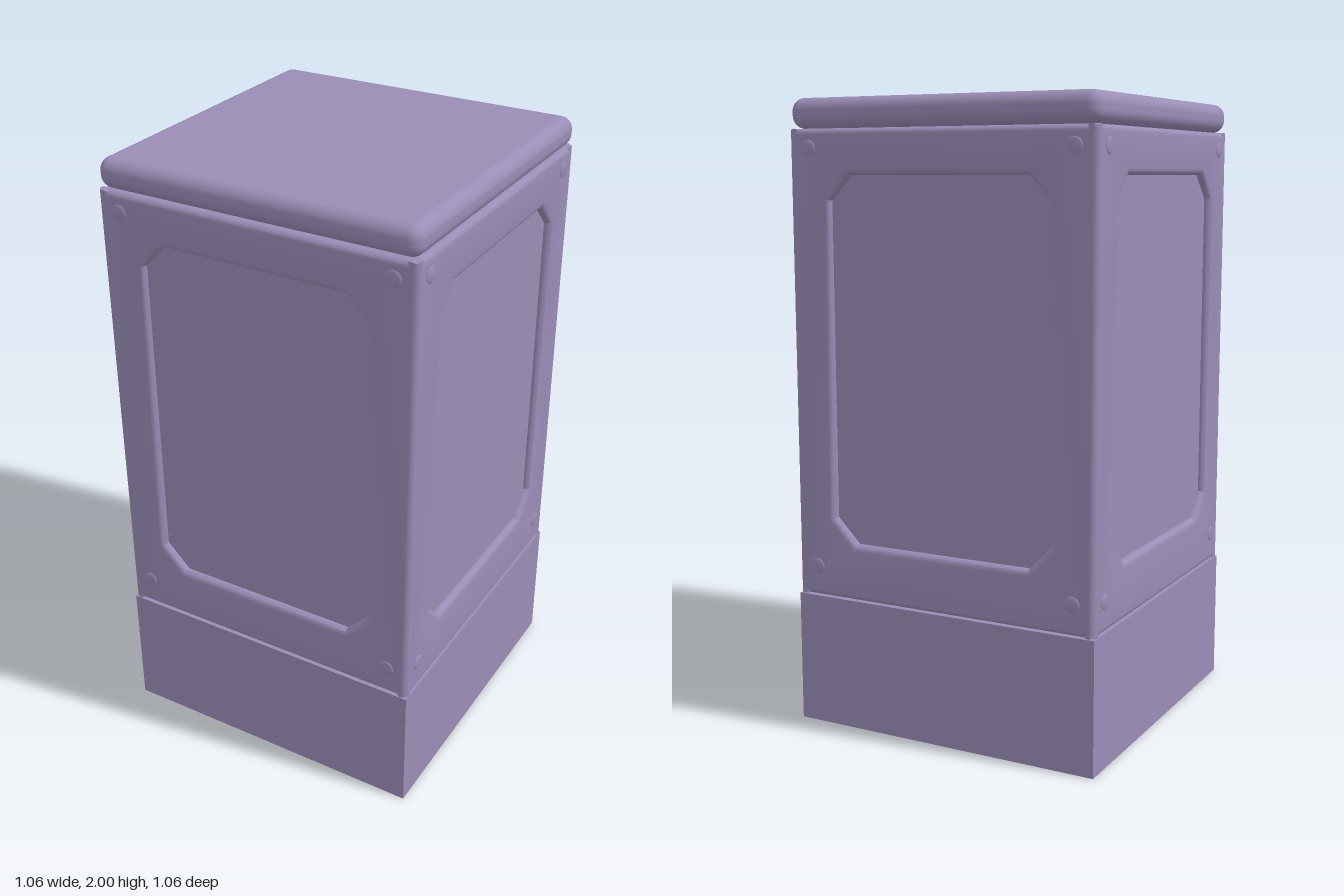
import * as THREE from 'three';
import { toCreasedNormals } from 'three/addons/utils/BufferGeometryUtils.js';
import { RoundedBoxGeometry } from 'three/addons/geometries/RoundedBoxGeometry.js';

const HALF = 0.525;             // half width of the pedestal
const BASE_TOP = 0.425, BODY_TOP = 1.906;
const BEVEL = 0.02;

function add(parent, name, geometry, material, x = 0, y = 0, z = 0) {
  const mesh = new THREE.Mesh(geometry, material);
  mesh.name = name;
  mesh.position.set(x, y, z);
  parent.add(mesh);
  return mesh;
}

// Rectangle with cut corners, given by its centre height and half sizes
function chamferedOutline(cy, hw, hh, cut) {
  return [
    [hw, cy - hh + cut], [hw, cy + hh - cut], [hw - cut, cy + hh], [-hw + cut, cy + hh],
    [-hw, cy + hh - cut], [-hw, cy - hh + cut], [-hw + cut, cy - hh], [hw - cut, cy - hh],
  ].map(([x, y]) => new THREE.Vector2(x, y));
}

// Face plate with rounded edges and an opening around the recessed panel
function frameGeometry() {
  const w = HALF - BEVEL, y0 = BASE_TOP + 0.002 + BEVEL, y1 = BODY_TOP - BEVEL;
  const shape = new THREE.Shape([
    new THREE.Vector2(-w, y0), new THREE.Vector2(w, y0),
    new THREE.Vector2(w, y1), new THREE.Vector2(-w, y1),
  ]);
  shape.holes.push(new THREE.Path(chamferedOutline(1.188, 0.402, 0.598, 0.09)));
  const geometry = new THREE.ExtrudeGeometry(shape, {
    depth: 0.002, bevelEnabled: true, bevelSize: BEVEL, bevelThickness: BEVEL, bevelSegments: 4,
  });
  geometry.translate(0, 0, HALF - BEVEL - 0.002);
  return toCreasedNormals(geometry, 0.6);
}

export function createModel() {
  const model = new THREE.Group();
  model.name = 'pedestal';
  const stone = new THREE.MeshStandardMaterial({ color: 0x9a8db6 });
  stone.name = 'muted lavender';

  // Plain plinth, recessed core and rounded cap
  add(model, 'plinth', new THREE.BoxGeometry(2 * HALF, BASE_TOP, 2 * HALF), stone, 0, BASE_TOP / 2);
  const coreHeight = BODY_TOP - BASE_TOP - 0.01;
  add(model, 'recessedPanels', new THREE.BoxGeometry(1.004, coreHeight, 1.004), stone,
    0, (BASE_TOP + BODY_TOP) / 2);
  add(model, 'cap', new THREE.BoxGeometry(1, 1, 1), stone).geometry =
    new RoundedBoxGeometry(2 * HALF + 0.002, 2 - BODY_TOP, 2 * HALF + 0.002, 6, 0.04);
  model.getObjectByName('cap').position.y = (2 + BODY_TOP) / 2;

  // Four identical sides, each with a frame and corner rivets
  const frame = frameGeometry();
  const rivet = new THREE.SphereGeometry(0.025, 16, 10);
  rivet.scale(1, 1, 0.18);
  ['front', 'left', 'back', 'right'].forEach((name, i) => {
    const side = new THREE.Group();
    side.name = name + 'Side';
    side.rotation.y = i * Math.PI / 2;
    add(side, 'panelFrame', frame, stone);
    for (const x of [-0.452, 0.452]) {
      for (const y of [0.525, 1.847]) add(side, 'rivet', rivet, stone, x, y, HALF);
    }
    model.add(side);
  });
  return model;
}
